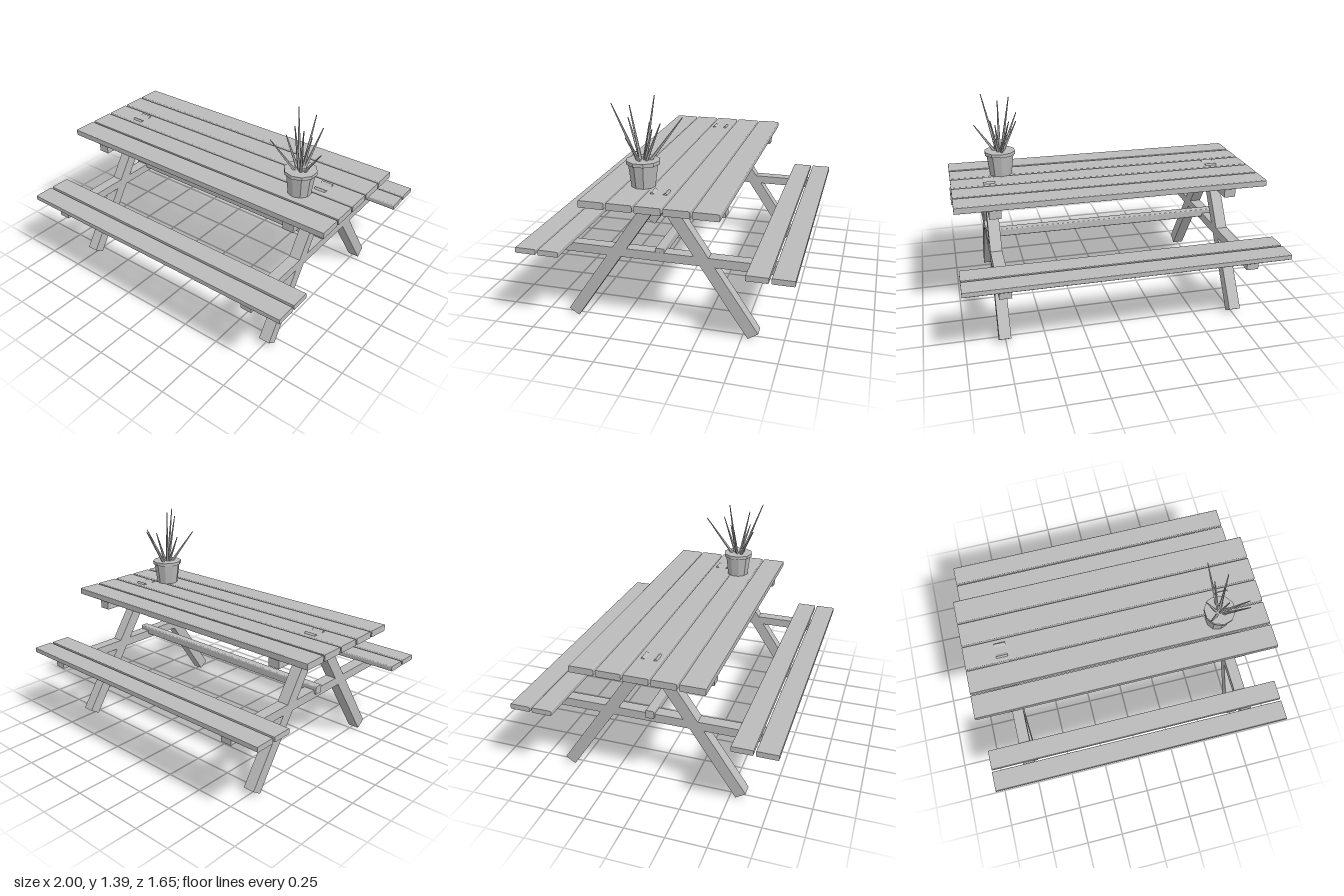
import * as THREE from 'three';

export function createModel() {
  const model = new THREE.Group();
  model.name = 'picnicTable';
  const grey = new THREE.MeshStandardMaterial({ color: 0xbbbbbb, flatShading: true });
  grey.name = 'plain grey';

  function add(parent, name, geometry, x, y, z) {
    const mesh = new THREE.Mesh(geometry, grey);
    mesh.name = name;
    mesh.position.set(x, y, z);
    parent.add(mesh);
    return mesh;
  }

  // Board running along x, with eased long edges
  function boardGeometry(length, height, depth, r = 0.007) {
    const w = depth / 2, h = height / 2;
    const s = new THREE.Shape();
    s.moveTo(-w + r, -h);
    s.lineTo(w - r, -h);
    s.quadraticCurveTo(w, -h, w, -h + r);
    s.lineTo(w, h - r);
    s.quadraticCurveTo(w, h, w - r, h);
    s.lineTo(-w + r, h);
    s.quadraticCurveTo(-w, h, -w, h - r);
    s.lineTo(-w, -h + r);
    s.quadraticCurveTo(-w, -h, -w + r, -h);
    const g = new THREE.ExtrudeGeometry(s, { depth: length, bevelEnabled: false, curveSegments: 3 });
    g.translate(0, 0, -length / 2);
    g.rotateY(Math.PI / 2);
    return g;
  }

  // Table top
  const topBoard = boardGeometry(2, 0.042, 0.154);
  for (let i = -2; i <= 2; i++) add(model, 'topPlank', topBoard, 0, 0.837, i * 0.166);

  // Benches, two planks each
  const benchBoard = boardGeometry(2, 0.034, 0.13);
  for (const side of [-1, 1]) {
    for (const z of [0.616, 0.76]) add(model, 'benchPlank', benchBoard, 0, 0.505, side * z);
  }

  // A-frames: two beams and a pair of slanted legs at each end
  const legBottom = new THREE.Vector2(0.568, 0.021);
  const legTop = new THREE.Vector2(0.012, 0.85);
  const legAxis = legTop.clone().sub(legBottom);
  const legGeometry = new THREE.BoxGeometry(0.074, legAxis.length(), 0.074);
  for (const side of [-1, 1]) {
    const frame = new THREE.Group();
    frame.name = 'endFrame';
    frame.position.x = side * 0.756;
    model.add(frame);
    add(frame, 'topBeam', new THREE.BoxGeometry(0.074, 0.06, 0.786), 0, 0.787, 0);
    add(frame, 'benchBeam', new THREE.BoxGeometry(0.074, 0.056, 1.6), 0, 0.466, 0);
    for (const s of [-1, 1]) {
      const leg = add(frame, 'leg', legGeometry, 0,
        (legTop.y + legBottom.y) / 2, s * (legTop.x + legBottom.x) / 2);
      leg.rotation.x = s * Math.atan2(legAxis.x, legAxis.y);
    }
  }

  // Stretcher joining the two frames
  add(model, 'stretcher', boardGeometry(1.6, 0.052, 0.054), -0.008, 0.494, 0);

  // Flower pot
  const potX = 0.664, potZ = 0.133;
  add(model, 'potBody', new THREE.CylinderGeometry(0.092, 0.074, 0.14, 10), potX, 0.928, potZ);
  add(model, 'potRim', new THREE.CylinderGeometry(0.102, 0.102, 0.022, 10), potX, 1.007, potZ);

  // Spiky leaves, given by their tips
  const plant = new THREE.Group();
  plant.name = 'plant';
  model.add(plant);
  const tips = [
    [0.594, 1.387, 0.08], [0.757, 1.365, 0.283], [0.655, 1.334, 0.212],
    [0.82, 1.187, 0.18], [0.53, 1.23, 0.27], [0.548, 1.21, 0.13],
    [0.725, 1.257, 0.005], [0.618, 1.272, -0.094], [0.69, 1.21, 0.066],
  ];
  const up = new THREE.Vector3(0, 1, 0);
  for (const t of tips) {
    const tip = new THREE.Vector3(...t);
    const base = new THREE.Vector3(potX, 1.0, potZ)
      .lerp(new THREE.Vector3(tip.x, 1.0, tip.z), 0.15);
    const dir = tip.clone().sub(base);
    const mid = base.clone().lerp(tip, 0.5);
    const leaf = add(plant, 'leaf',
      new THREE.CylinderGeometry(0.003, 0.011, dir.length(), 5), mid.x, mid.y, mid.z);
    leaf.quaternion.setFromUnitVectors(up, dir.normalize());
  }

  return model;
}
